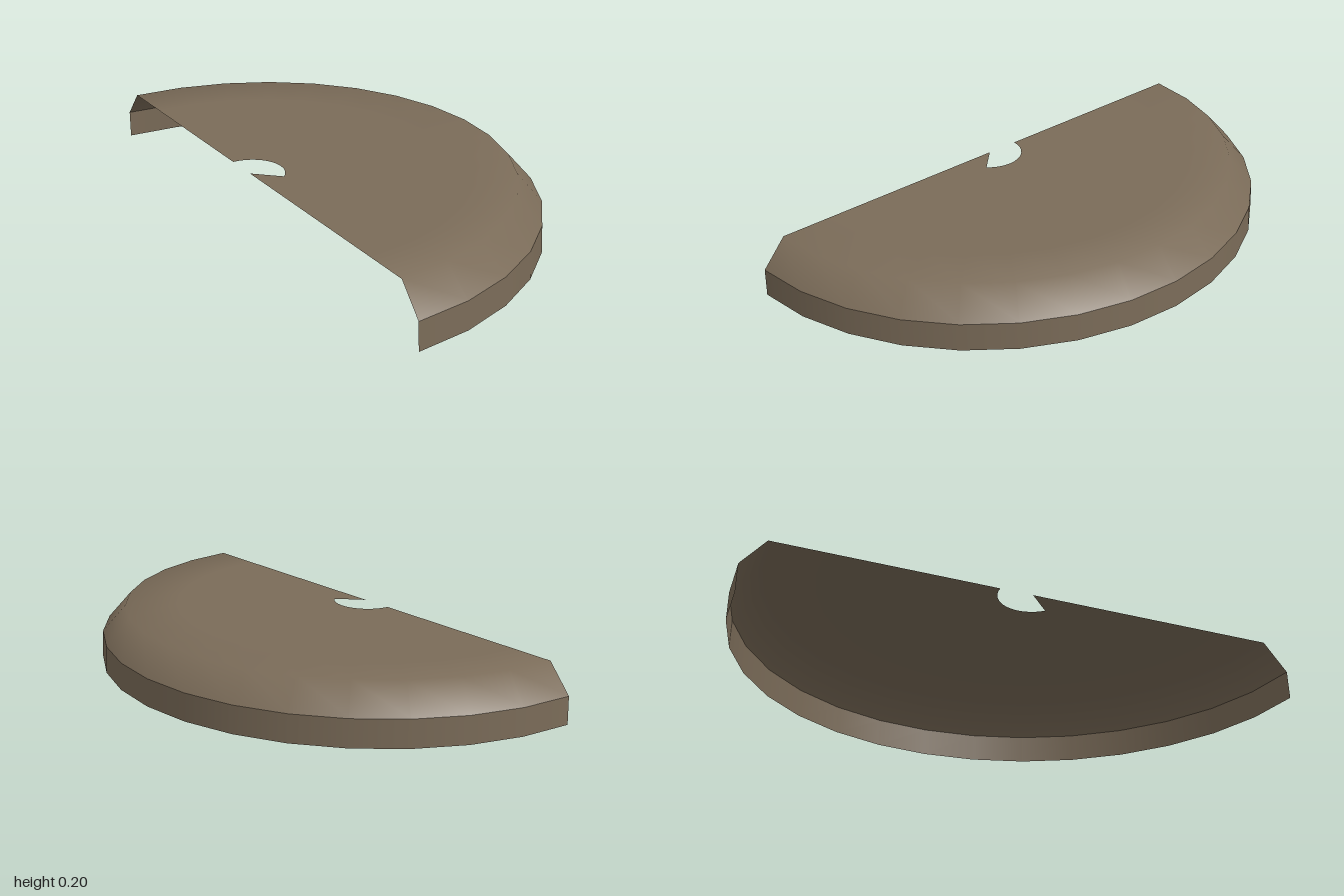
import * as THREE from 'three';

const SEGMENTS = 16;
const TOP = 0.2;
const HOLE = 0.12;

export function createModel() {
  const model = new THREE.Group();
  model.name = 'halfRoundCover';
  const brown = new THREE.MeshStandardMaterial({ color: 0x7a6b58, side: THREE.DoubleSide });
  brown.name = 'dull brown';

  // The centre of the half circle lies on the straight edge, at x = -0.5
  const add = (name, geometry) => {
    const mesh = new THREE.Mesh(geometry, brown);
    mesh.name = name;
    mesh.position.x = -0.5;
    model.add(mesh);
  };
  const halfLathe = (profile) => new THREE.LatheGeometry(
    profile.map(([r, y]) => new THREE.Vector2(r, y)), SEGMENTS, 0, Math.PI);

  // Outer wall, very slightly tapered
  add('rimWall', halfLathe([[1, 0], [0.997, 0.1]]));

  // Sloped edge flowing smoothly into the flat top
  add('slopedTop', halfLathe([[0.997, 0.1], [0.91, TOP], [0.72, TOP], [HOLE, TOP]]));

  // Wedge that fills the front part of the central hole
  const wedge = new THREE.CircleGeometry(HOLE, 4, -Math.PI / 2, Math.PI / 4);
  wedge.rotateX(-Math.PI / 2).translate(0, TOP, 0);
  add('holeWedge', wedge);

  return model;
}
